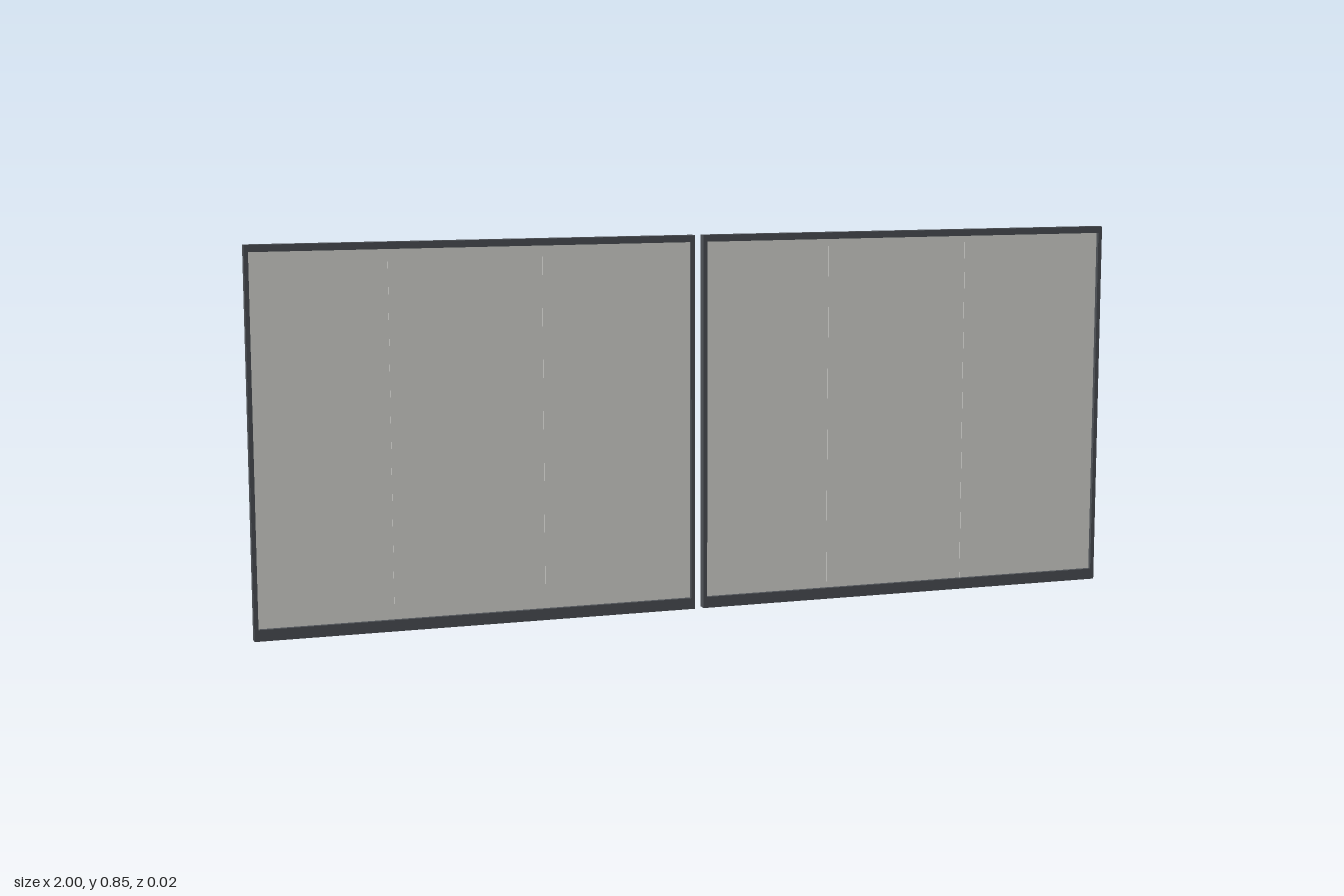
import * as THREE from 'three';

const HEIGHT = 0.845, DEPTH = 0.022;
const INNER = 0.01, OUTER = 1;             // x extent of each bay
const STILE = 0.009, TOP_RAIL = 0.015, BOTTOM_RAIL = 0.025;
const GAP = 0.002, PANE_DEPTH = 0.0015, PANE_Z = 0.001;

const frameMat = new THREE.MeshStandardMaterial({ color: 0x4d5156 });
frameMat.name = 'dark metal';
const paneMat = new THREE.MeshStandardMaterial({ color: 0xdcdcd8 });
paneMat.name = 'pale glass';

// Box given by its x and y limits, centred on z
function slab(name, x0, x1, y0, y1, depth, z, material) {
  const mesh = new THREE.Mesh(new THREE.BoxGeometry(x1 - x0, y1 - y0, depth), material);
  mesh.position.set((x0 + x1) / 2, (y0 + y1) / 2, z);
  mesh.name = name;
  return mesh;
}

// Rectangular metal frame around one bay
function frame(x0, x1) {
  const g = new THREE.Group();
  g.name = 'frame';
  const top = HEIGHT - TOP_RAIL;
  g.add(
    slab('bottomRail', x0, x1, 0, BOTTOM_RAIL, DEPTH, 0, frameMat),
    slab('topRail', x0, x1, top, HEIGHT, DEPTH, 0, frameMat),
    slab('stile', x0, x0 + STILE, BOTTOM_RAIL, top, DEPTH, 0, frameMat),
    slab('stile', x1 - STILE, x1, BOTTOM_RAIL, top, DEPTH, 0, frameMat)
  );
  return g;
}

// One skin of panes set deep in the frame, three per bay with fine open joints
function paneSkin(name) {
  const g = new THREE.Group();
  g.name = name;
  const bays = [
    [-OUTER + STILE, -0.697, -0.358, -INNER - STILE],
    [INNER + STILE, 0.312, 0.65, OUTER - STILE]
  ];
  for (const joints of bays) {
    for (let i = 0; i < 3; i++) {
      const x0 = joints[i] + (i > 0 ? GAP / 2 : 0);
      const x1 = joints[i + 1] - (i < 2 ? GAP / 2 : 0);
      g.add(slab('pane', x0, x1, BOTTOM_RAIL, HEIGHT - TOP_RAIL, PANE_DEPTH, PANE_Z, paneMat));
    }
  }
  return g;
}

export function createModel() {
  const model = new THREE.Group();
  model.name = 'glazedPartition';
  model.add(frame(-OUTER, -INNER), frame(INNER, OUTER));

  // The back skin is the front skin turned half around
  const back = paneSkin('backPanes');
  back.rotation.y = Math.PI;
  model.add(paneSkin('frontPanes'), back);
  return model;
}
